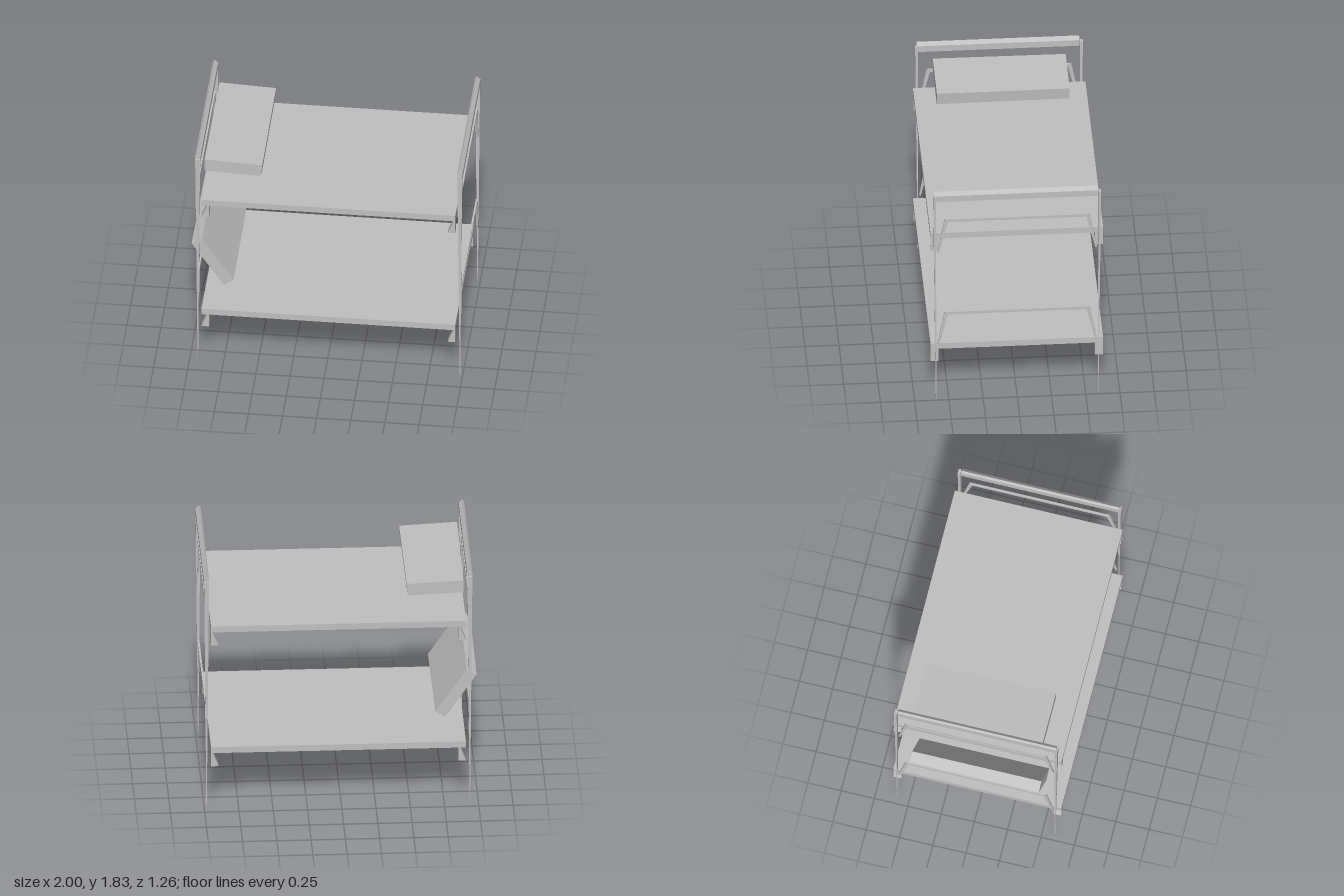
import * as THREE from 'three';

const grey = new THREE.MeshStandardMaterial({ color: 0xc0c0c0, flatShading: true });
grey.name = 'plain grey';

// Polygon (x, y) extruded along z, centred on z = 0
function prism(points, depth) {
  const shape = new THREE.Shape(points.map(([x, y]) => new THREE.Vector2(x, y)));
  const geo = new THREE.ExtrudeGeometry(shape, { depth, bevelEnabled: false });
  return geo.translate(0, 0, -depth / 2);
}

// Polygon (z, y) extruded along x, centred on x = 0
const sidePrism = (points, depth) => prism(points, depth).rotateY(-Math.PI / 2);

function add(parent, name, geo, x = 0, y = 0, z = 0) {
  const mesh = new THREE.Mesh(geo, grey);
  mesh.name = name;
  mesh.position.set(x, y, z);
  parent.add(mesh);
  return mesh;
}

// Slab with a wedge-shaped foot under each corner
function makeDeck(top) {
  const deck = new THREE.Group();
  deck.name = 'deck';
  add(deck, 'mattressBase', new THREE.BoxGeometry(1.86, 0.048, 1.26), 0.018, top - 0.024, 0);
  for (const x of [-0.912, 0.893]) {
    for (const z of [-0.6, 0.6]) {
      add(deck, 'cornerFoot', prism([[0, 0], [0.055, 0], [0.055, 0.112], [0.045, 0.112]], 0.058), x, top - 0.155, z);
    }
  }
  return deck;
}

// Post that narrows to a point at the floor
function makePost() {
  const geo = new THREE.BoxGeometry(0.036, 1.79, 0.02).translate(0, 0.895, 0);
  const p = geo.attributes.position;
  for (let i = 0; i < p.count; i++) {
    if (p.getY(i) < 0.5) p.setXYZ(i, p.getX(i) * 0.12, 0, p.getZ(i) * 0.2);
  }
  return geo;
}

// End frame: two posts, a head rail and a splayed hoop above each deck
function makeEndFrame(x, side) {
  const frame = new THREE.Group();
  frame.name = side > 0 ? 'leftEndFrame' : 'rightEndFrame';
  frame.position.x = x;
  for (const s of [-1, 1]) {
    const post = add(frame, 'post', makePost(), 0, 0, s * 0.592);
    post.rotation.x = s * 0.006;
  }
  const rail = [[-0.019, 0], [0.019, 0], [0.019, 0.05], [-0.006, 0.075], [-0.019, 0.06]];
  add(frame, 'headRail', prism(rail, 1.19), 0, 1.755, 0.008);
  for (const y of [1.565, 0.745]) {
    add(frame, 'hoopRail', new THREE.BoxGeometry(0.014, 0.022, 1.04), 0, y + 0.012, 0);
    for (const s of [-1, 1]) {
      const leg = [[s * 0.505, 0], [s * 0.53, 0.024], [s * 0.583, -0.27], [s * 0.57, -0.27]];
      add(frame, 'hoopLeg', sidePrism(leg, 0.014), 0, y, 0);
    }
  }
  return frame;
}

// Pillow from a side profile, with its ends drawn in a little
function makePillow(profile) {
  const geo = prism(profile, 0.97);
  const [cx, cy] = [0, 1].map(k => profile.reduce((sum, q) => sum + q[k], 0) / profile.length);
  const p = geo.attributes.position;
  for (let i = 0; i < p.count; i++) {
    if (p.getZ(i) < 0) p.setXY(i, cx + (p.getX(i) - cx) * 0.98, cy + (p.getY(i) - cy) * 0.96);
  }
  geo.computeVertexNormals();
  return geo;
}

export function createModel() {
  const model = new THREE.Group();
  model.name = 'bunkBed';

  for (const top of [1.445, 0.467]) model.add(makeDeck(top));

  model.add(makeEndFrame(-0.942, -1), makeEndFrame(0.979, 1));

  add(model, 'upperPillow', makePillow([[-0.905, 1.605], [-0.49, 1.588], [-0.482, 1.685], [-0.905, 1.705]]));
  add(model, 'lowerPillow', makePillow([[-1, 0.945], [-0.765, 0.592], [-0.692, 0.64], [-0.925, 0.985]]));

  return model;
}
